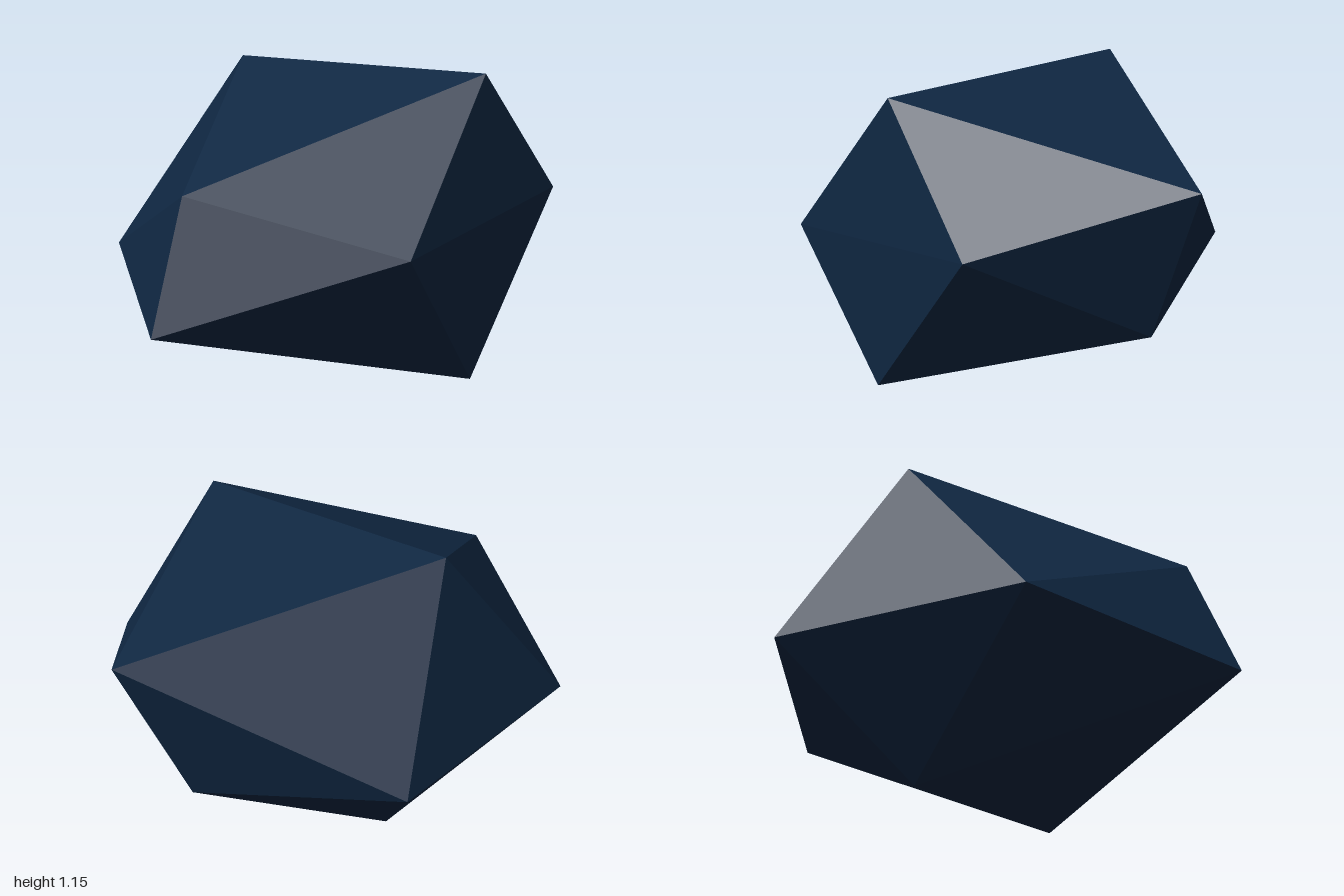
import * as THREE from 'three';

// Twelve corners of an irregular twenty-sided rock, in pairs that share an edge
const corners = {
  topFront: [0.05, 1.14, 0.6], topBack: [0.04, 1.155, -0.48],
  leftHigh: [0.99, 0.925, 0.12], leftLow: [0.75, 0.345, 0.05],
  rightHigh: [-0.84, 0.78, 0], rightLow: [-1, 0.34, 0],
  frontRight: [-0.46, 0.58, 0.63], frontLeft: [0.48, 0.69, 0.655],
  backRight: [-0.49, 0.478, -0.655], backLeft: [0.45, 0.475, -0.66],
  baseFront: [-0.04, 0.07, 0.615], baseBack: [0.09, 0, -0.29],
};

const faces = [
  // two faces on each paired edge
  'topFront topBack leftHigh', 'topFront topBack rightHigh',
  'baseFront baseBack leftLow', 'baseFront baseBack rightLow',
  'leftHigh leftLow frontLeft', 'leftHigh leftLow backLeft',
  'rightHigh rightLow frontRight', 'rightHigh rightLow backRight',
  'frontRight frontLeft topFront', 'frontRight frontLeft baseFront',
  'backRight backLeft topBack', 'backRight backLeft baseBack',
  // one face in each octant
  'topFront leftHigh frontLeft', 'topFront rightHigh frontRight',
  'topBack leftHigh backLeft', 'topBack rightHigh backRight',
  'baseFront leftLow frontLeft', 'baseFront rightLow frontRight',
  'baseBack leftLow backLeft', 'baseBack rightLow backRight',
];

function rockGeometry() {
  const centre = new THREE.Vector3(0, 0.58, 0);
  const points = [];
  for (const face of faces) {
    const [a, b, c] = face.split(' ').map((n) => new THREE.Vector3(...corners[n]));
    // wind every face so that it looks outward
    const normal = b.clone().sub(a).cross(c.clone().sub(a));
    const outward = normal.dot(a.clone().sub(centre)) > 0;
    points.push(...(outward ? [a, b, c] : [a, c, b]));
  }
  const geometry = new THREE.BufferGeometry().setFromPoints(points);
  geometry.computeVertexNormals(); // unshared corners give flat facets
  return geometry;
}

export function createModel() {
  const group = new THREE.Group();
  group.name = 'rock';
  const navy = new THREE.MeshStandardMaterial({ color: 0x0f2742 });
  navy.name = 'dark navy stone';
  const rock = new THREE.Mesh(rockGeometry(), navy);
  rock.name = 'rockBody';
  group.add(rock);
  return group;
}
